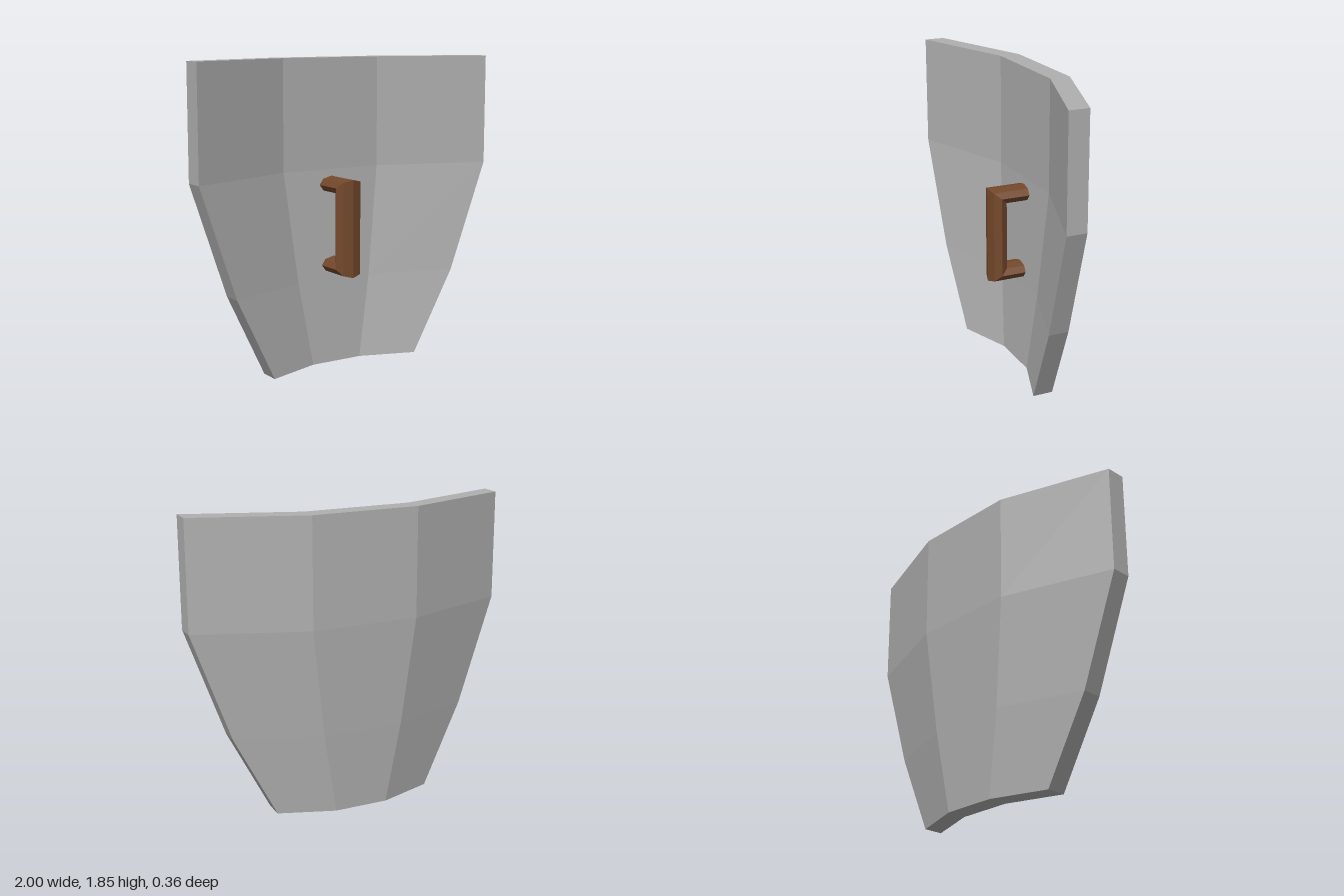
import * as THREE from 'three';

// Flat-faced geometry from four-cornered faces (corners counter-clockwise)
function fromQuads(quads) {
  const pos = [];
  for (const [a, b, c, d] of quads) pos.push(...a, ...b, ...c, ...a, ...c, ...d);
  const g = new THREE.BufferGeometry();
  g.setAttribute('position', new THREE.Float32BufferAttribute(pos, 3));
  g.computeVertexNormals();
  return g;
}

// Curved plate: rows of [height, half width, front z of the outer edge]
function plateGeometry() {
  const thickness = 0.122, bend = 0.23;
  const rows = [[0, 0.507, 0.113], [0.51, 0.765, 0.146], [1.18, 1, 0.168], [1.848, 1, 0.168]];
  const cols = [-1, -1 / 3, 1 / 3, 1];
  const grid = (dz) => rows.map(([y, w, z]) => cols.map((c) =>
    [c * w, y, z - (Math.abs(c) < 1 ? bend * w : 0) - dz]));
  const f = grid(0), b = grid(thickness);
  const quads = [];
  for (let i = 0; i < 3; i++) {
    for (let j = 0; j < 3; j++) {
      quads.push([f[i][j], f[i][j + 1], f[i + 1][j + 1], f[i + 1][j]]);
      quads.push([b[i][j + 1], b[i][j], b[i + 1][j], b[i + 1][j + 1]]);
    }
    // side, top and bottom rims
    quads.push([f[i][3], b[i][3], b[i + 1][3], f[i + 1][3]]);
    quads.push([b[i][0], f[i][0], f[i + 1][0], b[i + 1][0]]);
    quads.push([f[3][i], f[3][i + 1], b[3][i + 1], b[3][i]]);
    quads.push([b[0][i], b[0][i + 1], f[0][i + 1], f[0][i]]);
  }
  return fromQuads(quads);
}

// Eight-sided bar with mitred corners, its ends sunk in the plate
function handleGeometry() {
  const top = 1.09, bottom = 0.602, out = 0.12, sunk = -0.09;
  const rings = [[], [], [], []];
  for (let k = 0; k < 8; k++) {
    const a = k * Math.PI / 4;
    const x = 0.085 * Math.cos(a), n = 0.05 * Math.sin(a), z = out + 0.058 * Math.sin(a);
    rings[0].push([x, top + n, sunk]);
    rings[1].push([x, top + n, z]);
    rings[2].push([x, bottom - n, z]);
    rings[3].push([x, bottom - n, sunk]);
  }
  const quads = [];
  for (let i = 0; i < 3; i++) {
    for (let k = 0; k < 8; k++) {
      const m = (k + 1) % 8;
      quads.push([rings[i][k], rings[i][m], rings[i + 1][m], rings[i + 1][k]]);
    }
  }
  return fromQuads(quads);
}

export function createModel() {
  const metal = new THREE.MeshStandardMaterial({ color: 0xb0b0b0 });
  metal.name = 'grey metal';
  const wood = new THREE.MeshStandardMaterial({ color: 0x74482b });
  wood.name = 'brown wood';

  const group = new THREE.Group();
  group.name = 'shield';
  const plate = new THREE.Mesh(plateGeometry(), metal);
  plate.name = 'plate';
  const handle = new THREE.Mesh(handleGeometry(), wood);
  handle.name = 'handle';
  group.add(plate, handle);
  return group;
}
